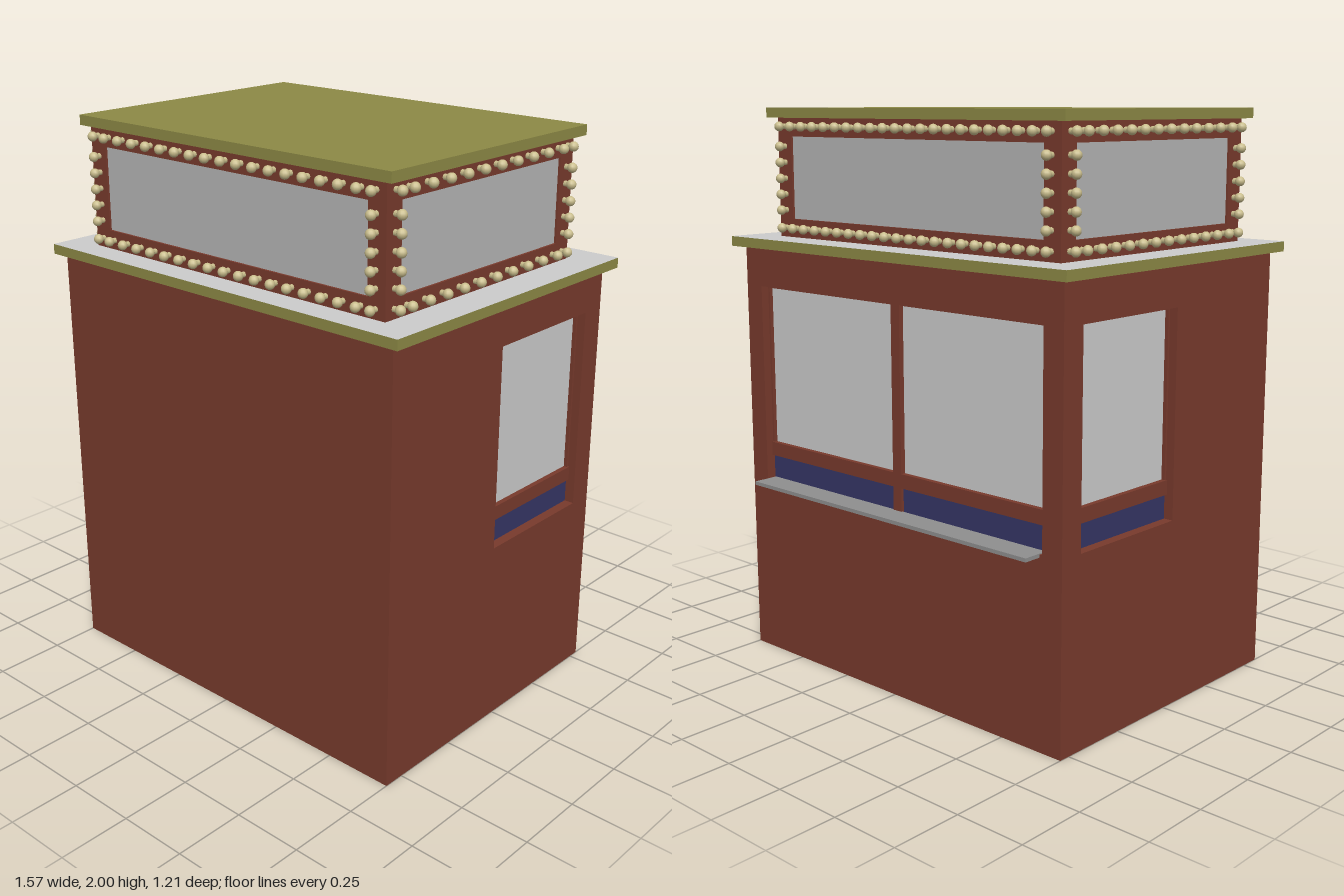
import * as THREE from 'three';

const paint = (color) => new THREE.MeshStandardMaterial({ color });
const red = paint(0x783a2c), olive = paint(0x8c8945), grey = paint(0xcccccc);
const signGrey = paint(0xb4b4b4), shelfGrey = paint(0x8e8e8e), navy = paint(0x353565), cream = paint(0xc9bd8c);

// Box given by its minimum and maximum corners
function box(parent, name, material, [x0, y0, z0], [x1, y1, z1]) {
  const mesh = new THREE.Mesh(new THREE.BoxGeometry(x1 - x0, y1 - y0, z1 - z0), material);
  mesh.position.set((x0 + x1) / 2, (y0 + y1) / 2, (z0 + z1) / 2);
  mesh.name = name;
  parent.add(mesh);
  return mesh;
}

// Rectangular sheet with one rectangular hole; outer face on local z = 0
function sheet(parent, name, [x0, y0, x1, y1], [a0, b0, a1, b1], depth) {
  const rect = (C, l, b, r, t) => {
    const s = new C();
    s.moveTo(l, b).lineTo(r, b).lineTo(r, t).lineTo(l, t).closePath();
    return s;
  };
  const shape = rect(THREE.Shape, x0, y0, x1, y1);
  shape.holes.push(rect(THREE.Path, a0, b0, a1, b1));
  const geo = new THREE.ExtrudeGeometry(shape, { depth, bevelEnabled: false });
  geo.translate(0, 0, -depth);
  const mesh = new THREE.Mesh(geo, red);
  mesh.name = name;
  parent.add(mesh);
}

// Group whose local +z points outward from one side of the booth
function side(parent, name, angle, x, z) {
  const g = new THREE.Group();
  g.name = name;
  g.rotation.y = angle;
  g.position.set(x, 0, z);
  parent.add(g);
  return g;
}

// Wall with a recessed window, rail and lower panel
function windowWall(g, halfWidth, l, r, mullion) {
  const bottom = 0.655, top = 1.37, f = 0.008;
  sheet(g, 'wall', [-halfWidth, 0, halfWidth, 1.51], [l, bottom, r, top], 0.05);
  box(g, 'windowPane', grey, [l, 0.78, -0.055], [r, top, -0.043]);
  box(g, 'lowerPanel', navy, [l, bottom, -0.055], [r, 0.745, -0.035]);
  box(g, 'windowRail', red, [l, 0.74, -0.05], [r, 0.79, -0.025]);
  box(g, 'windowHead', red, [l, top - f, -0.05], [r, top, -0.03]);
  for (const x of [l, r - f]) box(g, 'windowJamb', red, [x, 0.79, -0.05], [x + f, top, -0.03]);
  if (mullion) box(g, 'mullion', red, [-0.02, bottom, -0.05], [0.02, top, -0.025]);
}

// Slab with olive edges and separately coloured top and underside
function slab(parent, name, top, min, max) {
  box(parent, name, [olive, olive, top, grey, olive, olive], min, max);
}

const bulbGeo = new THREE.SphereGeometry(0.017, 12, 8);
const neckGeo = new THREE.CylinderGeometry(0.01, 0.01, 0.026, 8).rotateX(Math.PI / 2);

function bulb(g, x, y) {
  const globe = new THREE.Mesh(bulbGeo, cream);
  globe.name = 'bulb';
  globe.position.set(x, y, 0.026);
  const neck = new THREE.Mesh(neckGeo, cream);
  neck.name = 'bulbNeck';
  neck.position.set(x, y, 0.011);
  g.add(globe, neck);
}

// Framed sign panel with bulbs all around
function signFace(g, half, count) {
  const inner = half - 0.07, bulbX = half - 0.038, span = half - 0.095;
  sheet(g, 'signFrame', [-half, 1.545, half, 1.965], [-inner, 1.61, inner, 1.9], 0.02);
  box(g, 'signPanel', signGrey, [-inner, 1.61, -0.025], [inner, 1.9, -0.008]);
  for (const y of [1.578, 1.935]) {
    for (let i = 0; i < count; i++) bulb(g, -span + (2 * span * i) / (count - 1), y);
    for (const s of [-1, 1]) bulb(g, s * bulbX, y);
  }
  for (let i = 0; i < 5; i++) {
    for (const s of [-1, 1]) bulb(g, s * bulbX, 1.641 + i * 0.056);
  }
}

export function createModel() {
  const model = new THREE.Group();
  model.name = 'ticketBooth';

  // Body and its three windowed walls
  box(model, 'bodyCore', red, [-0.7, 0, -0.49], [0.7, 1.51, 0.575]);
  windowWall(side(model, 'backWall', Math.PI, 0, -0.54), 0.75, -0.67, 0.67, true);
  windowWall(side(model, 'leftWall', Math.PI / 2, 0.75, 0.0175), 0.5575, -0.0125, 0.4675, false);
  windowWall(side(model, 'rightWall', -Math.PI / 2, -0.75, 0.0175), 0.5575, -0.4675, 0.0125, false);

  // Serving shelf
  box(model, 'counterShelf', shelfGrey, [-0.66, 0.645, -0.605], [0.66, 0.658, -0.51]);

  // Roof and sign box
  slab(model, 'roof', grey, [-0.787, 1.51, -0.575], [0.787, 1.545, 0.602]);
  box(model, 'signCore', red, [-0.64, 1.545, -0.43], [0.64, 1.965, 0.485]);
  signFace(side(model, 'frontSign', 0, 0, 0.505), 0.66, 17);
  signFace(side(model, 'backSign', Math.PI, 0, -0.45), 0.66, 20);
  signFace(side(model, 'leftSign', Math.PI / 2, 0.66, 0.0275), 0.4775, 10);
  signFace(side(model, 'rightSign', -Math.PI / 2, -0.66, 0.0275), 0.4775, 12);
  slab(model, 'signCap', olive, [-0.693, 1.965, -0.475], [0.693, 2, 0.525]);

  return model;
}
